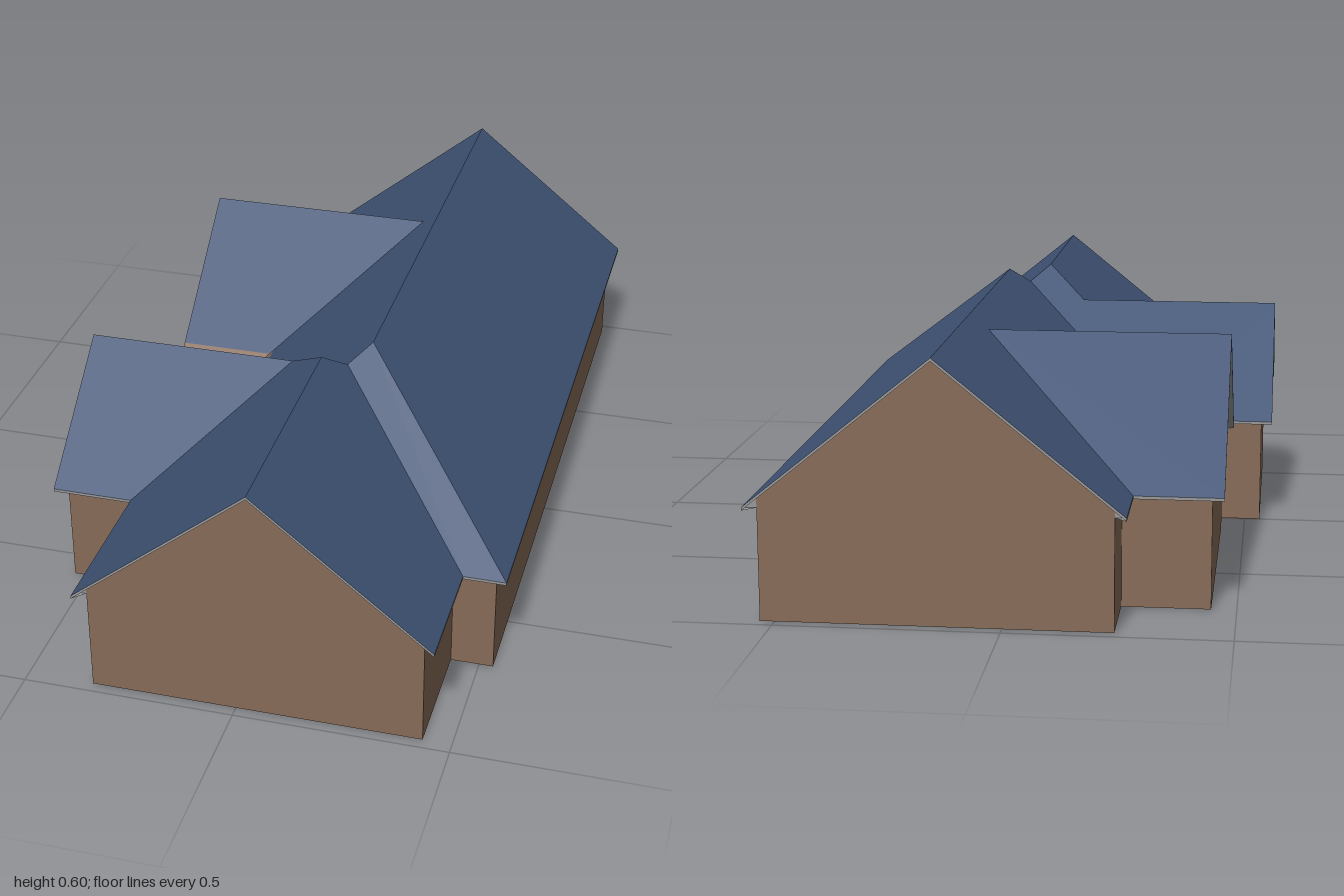
import * as THREE from 'three';

const EAVE = 0.262, SLOPE = 0.807, DROP = 0.007, INSET = 0.027;

// Eave outline [x, z], walked with the inside to the left of -z
const OUTLINE = [
  [-0.37, 1], [0.46, 1], [0.46, 0.705], [0.56, 0.705], [0.56, -1], [-0.27, -1], [-0.27, -0.81],
  [-0.47, -0.81], [-0.47, -0.07], [-0.27, -0.07], [-0.27, -0.025], [-0.565, -0.025],
  [-0.565, 0.605], [-0.37, 0.605],
];
const GABLE_NAMES = { 0: 'front', 4: 'back', 7: 'rearWing', 11: 'frontWing' };

// Roof planes: distance from the eave, then the plan outline
const ROOF = [
  ['mainRoofLeft', (x) => 0.56 - x, [[0.56, -1], [0.145, -1], [0.145, 0.29], [0.56, 0.705]]],
  ['mainRoofHip', (x, z) => 0.705 - z, [[0.56, 0.705], [0.145, 0.29], [0.095, 0.34], [0.46, 0.705]]],
  ['frontRoofLeft', (x) => 0.46 - x, [[0.46, 1], [0.46, 0.705], [0.095, 0.34], [0.045, 0.39], [0.045, 1]]],
  ['frontRoofRight', (x) => x + 0.37, [[-0.37, 1], [0.045, 1], [0.045, 0.39], [-0.055, 0.29], [-0.37, 0.605]]],
  ['frontWingRoofFront', (x, z) => 0.605 - z, [[-0.565, 0.605], [-0.37, 0.605], [-0.055, 0.29], [-0.565, 0.29]]],
  ['frontWingRoofBack', (x, z) => z + 0.025,
    [[-0.565, -0.025], [-0.565, 0.29], [-0.055, 0.29], [0.045, 0.39], [0.095, 0.34], [-0.27, -0.025]]],
  ['mainRoofRight', (x) => x + 0.27,
    [[-0.27, -1], [-0.27, -0.81], [0.1, -0.44], [-0.225, -0.115], [-0.225, 0.02], [0.095, 0.34],
      [0.145, 0.29], [0.145, -1]]],
  ['rearWingRoofBack', (x, z) => z + 0.81, [[-0.47, -0.81], [-0.27, -0.81], [0.1, -0.44], [-0.47, -0.44]]],
  ['rearWingRoofFront', (x, z) => -0.07 - z, [[-0.47, -0.44], [0.1, -0.44], [-0.235, -0.105], [-0.47, -0.105]]],
];

// Bare boarding on the eaves around the narrow gap between the wings
const BOARDING = [
  ['gapEaveMain', (x) => x + 0.27, [[-0.27, -0.07], [-0.27, -0.025], [-0.225, 0.02], [-0.225, -0.115]]],
  ['gapEaveWing', (x, z) => -0.07 - z, [[-0.47, -0.07], [-0.47, -0.105], [-0.235, -0.105], [-0.27, -0.07]]],
];

function meshFrom(name, points, material) {
  const geometry = new THREE.BufferGeometry();
  geometry.setAttribute('position', new THREE.Float32BufferAttribute(points.flat(), 3));
  geometry.computeVertexNormals();
  const mesh = new THREE.Mesh(geometry, material);
  mesh.name = name;
  return mesh;
}

// Sloping sheet over a plan polygon, wound to face up
function slopeMesh([name, distance, plan], material) {
  const flat = plan.map(([x, z]) => new THREE.Vector2(x, z));
  const points = [];
  for (const tri of THREE.ShapeUtils.triangulateShape(flat, [])) {
    const [a, b, c] = tri.map((i) => flat[i]);
    const area = (b.x - a.x) * (c.y - a.y) - (b.y - a.y) * (c.x - a.x);
    for (const p of area > 0 ? [a, c, b] : [a, b, c]) points.push([p.x, EAVE + SLOPE * distance(p.x, p.y), p.y]);
  }
  return meshFrom(name, points, material);
}

const quad = (a, b, c, d) => [a, b, c, a, c, d];
const at = ([x, z], y) => [x, y, z];
const middle = (a, b) => [(a[0] + b[0]) / 2, (a[1] + b[1]) / 2];

// Strip joining two equally long rows of points
function strip(rowA, rowB) {
  const points = [];
  for (let i = 0; i + 1 < rowA.length; i++) points.push(...quad(rowA[i], rowA[i + 1], rowB[i + 1], rowB[i]));
  return points;
}

export function createModel() {
  const paint = (name, color) => {
    const material = new THREE.MeshStandardMaterial({ color, side: THREE.DoubleSide });
    material.name = name;
    return material;
  };
  const roofBlue = paint('roof blue', 0x3e5274);
  const wallBrown = paint('wall brown', 0x876b58);
  const trimGrey = paint('trim grey', 0x999999);

  const house = new THREE.Group();
  house.name = 'house';

  const roof = new THREE.Group();
  roof.name = 'roof';
  ROOF.forEach((face) => roof.add(slopeMesh(face, roofBlue)));
  BOARDING.forEach((face) => roof.add(slopeMesh(face, wallBrown)));

  // Wall line: the eave outline moved inward
  const count = OUTLINE.length;
  const inward = OUTLINE.map((p, i) => {
    const q = OUTLINE[(i + 1) % count];
    return [Math.sign(q[1] - p[1]), -Math.sign(q[0] - p[0])];
  });
  const wallLine = OUTLINE.map((p, i) => {
    const before = inward[(i + count - 1) % count];
    return [0, 1].map((k) => p[k] + INSET * (before[k] + inward[i][k]));
  });

  const walls = new THREE.Group();
  walls.name = 'walls';
  const trim = new THREE.Group();
  trim.name = 'trim';
  const inner = EAVE + SLOPE * INSET - 0.003;

  for (let i = 0; i < count; i++) {
    const j = (i + 1) % count;
    const a = OUTLINE[i], b = OUTLINE[j], c = wallLine[i], d = wallLine[j];
    if (i in GABLE_NAMES) {
      // Gable wall with its sloping verge
      const name = GABLE_NAMES[i];
      const m = middle(a, b), n = middle(c, d);
      const half = Math.hypot(b[0] - a[0], b[1] - a[1]) / 2;
      const peak = EAVE + SLOPE * half;
      walls.add(meshFrom(name + 'GableWall',
        strip([at(c, 0), at(n, 0), at(d, 0)], [at(c, inner), at(n, peak - 0.003), at(d, inner)]), wallBrown));
      const edge = [at(a, EAVE), at(m, peak), at(b, EAVE)];
      const low = [at(a, EAVE - DROP), at(m, peak - DROP), at(b, EAVE - DROP)];
      const back = [a, m, b].map(([x, z], k) =>
        at([x + inward[i][0] * INSET, z + inward[i][1] * INSET], low[k][1]));
      trim.add(meshFrom(name + 'Verge', [...strip(edge, low), ...strip(low, back)], trimGrey));
      // Closed ends of the eaves beside the gable
      const ends = [[back[0], c], [back[2], d]].flatMap(([corner, w]) =>
        [corner, at(w, EAVE - DROP), at(w, inner)]);
      trim.add(meshFrom(name + 'EaveEnds', ends, trimGrey));
    } else {
      // Side wall with fascia and level soffit
      const y = EAVE - DROP;
      walls.add(meshFrom('sideWall', quad(at(c, 0), at(d, 0), at(d, inner), at(c, inner)), wallBrown));
      trim.add(meshFrom('eave', [
        ...quad(at(a, EAVE), at(b, EAVE), at(b, y), at(a, y)),
        ...quad(at(a, y), at(b, y), at(d, y), at(c, y)),
      ], trimGrey));
    }
  }

  house.add(roof, walls, trim);
  return house;
}
